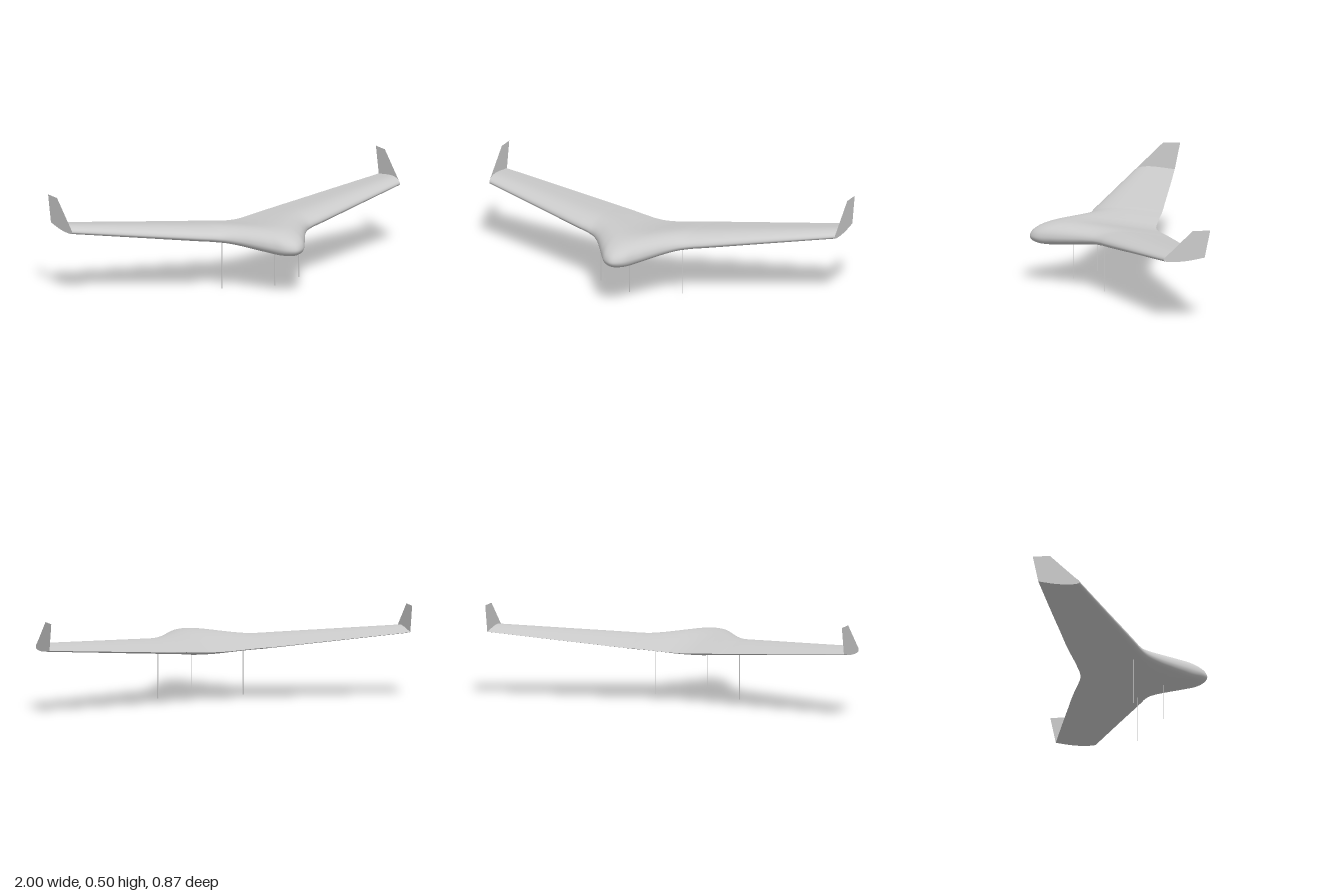
import * as THREE from 'three';

const V2 = (x, y) => new THREE.Vector2(x, y);

// Unit airfoil (chord fraction, height / chord): trailing edge, over the top, nose, under, trailing edge
const AIRFOIL = new THREE.CatmullRomCurve3([
  [1, 0.04], [0.8, 0.073], [0.6, 0.104], [0.45, 0.122], [0.32, 0.128], [0.2, 0.118], [0.1, 0.092],
  [0.045, 0.065], [0.012, 0.034], [0, 0], [0.012, -0.025], [0.045, -0.045], [0.1, -0.055],
  [0.2, -0.06], [0.35, -0.059], [0.5, -0.049], [0.65, -0.03], [0.82, 0.001], [1, 0.038],
].map(([u, h]) => new THREE.Vector3(u, h, 0)));

// Half planform: x, leading edge z, trailing edge z
const HALF = [
  [0.05, 0.41, -0.234], [0.1, 0.34, -0.243], [0.15, 0.26, -0.253], [0.2, 0.185, -0.264],
  [0.25, 0.13, -0.275], [0.3, 0.1, -0.285], [0.36, 0.076, -0.296], [0.45, 0.039, -0.311],
  [0.65, -0.045, -0.346], [0.85, -0.128, -0.38], [1, -0.19, -0.405],
];
const PLAN = new THREE.CatmullRomCurve3([
  ...HALF.map(([x, le, te]) => [-x, le, te]).reverse(), [0, 0.434, -0.23], ...HALF,
].map((p) => new THREE.Vector3(...p)));

// Height of the wing's upper crest along the span
function crest(x) {
  const a = Math.abs(x);
  return 0.335 - 0.006 * THREE.MathUtils.smoothstep(a, 0, 0.25) + 0.046 * Math.max(0, (a - 0.27) / 0.73);
}

const SIDES = 90;

// Points of one wing section, scaled by its chord
function section({ x, y: le, z: te }) {
  const chord = le - te;
  const base = crest(x) - 0.128 * chord;
  return Array.from({ length: SIDES + 1 }, (_, j) => {
    const p = AIRFOIL.getPoint(j / SIDES);
    return new THREE.Vector3(x, base + p.y * chord, le - p.x * chord);
  });
}

function wingGeometry(stations) {
  const pos = [], index = [], n = SIDES + 1;
  for (let i = 0; i <= stations; i++) {
    for (const p of section(PLAN.getPoint(i / stations))) pos.push(p.x, p.y, p.z);
  }
  for (let i = 0; i < stations; i++) {
    for (let j = 0; j < SIDES; j++) {
      const a = i * n + j, b = a + n;
      index.push(a, a + 1, b, a + 1, b + 1, b);
    }
  }
  const g = new THREE.BufferGeometry();
  g.setAttribute('position', new THREE.Float32BufferAttribute(pos, 3));
  g.setIndex(index);
  g.computeVertexNormals();
  return g;
}

export function createModel() {
  const group = new THREE.Group();
  const smooth = new THREE.MeshStandardMaterial({ color: 0xcccccc, side: THREE.DoubleSide });
  const add = (name, geometry, x = 0, y = 0, z = 0) => {
    const mesh = new THREE.Mesh(geometry, smooth);
    mesh.name = name;
    mesh.position.set(x, y, z);
    group.add(mesh);
    return mesh;
  };

  // Blended body and swept wings in one skin
  add('blendedWingBody', wingGeometry(132));

  // Winglets: thin plates closing the wing tips, lower edge following the airfoil
  const tip = section(PLAN.getPoint(1));
  const lower = tip.slice(Math.round(SIDES * 0.46)).map((p) => V2(-p.z, p.y));
  const plate = new THREE.ShapeGeometry(new THREE.Shape([...lower, V2(0.434, 0.5), V2(0.343, 0.5)]));
  plate.rotateY(Math.PI / 2);
  for (const [name, side] of [['leftWinglet', 1], ['rightWinglet', -1]]) {
    add(name, plate, side);
  }

  // Landing gear: plain thin struts
  const strut = (name, x, z, bottom, top) =>
    add(name, new THREE.CylinderGeometry(0.002, 0.002, top - bottom, 8), x, (top + bottom) / 2, z);
  strut('noseStrut', 0, 0.206, 0.018, 0.23);
  strut('leftMainStrut', 0.235, 0.059, 0, 0.27);
  strut('rightMainStrut', -0.235, 0.059, 0, 0.27);

  return group;
}
